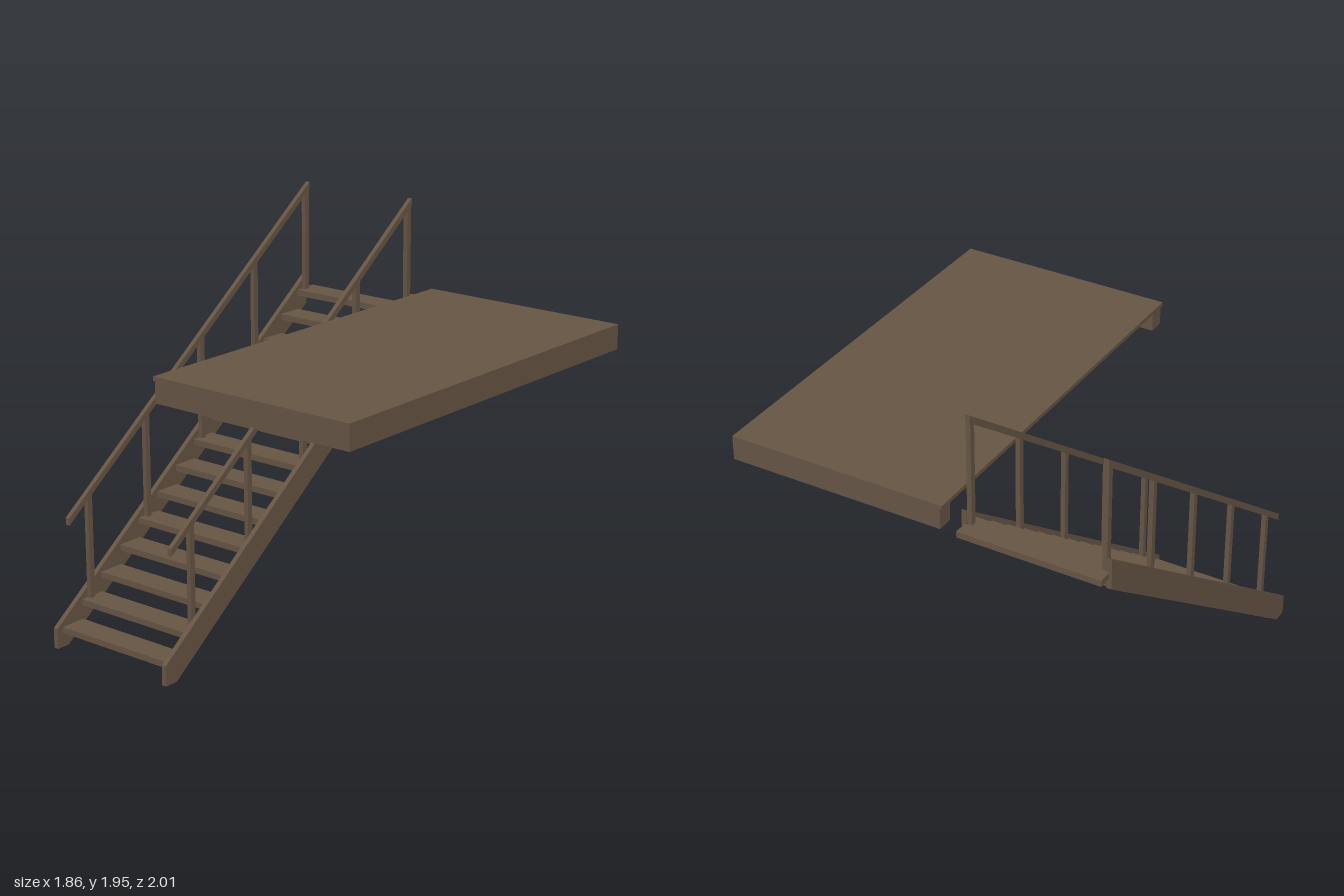
import * as THREE from 'three';

export function createModel() {
  const model = new THREE.Group();
  model.name = 'stairsAndPlatform';
  const wood = new THREE.MeshStandardMaterial({ color: 0x665544 });
  wood.name = 'brown wood';

  const add = (parent, name, geometry) => {
    const mesh = new THREE.Mesh(geometry, wood);
    mesh.name = name;
    parent.add(mesh);
    return mesh;
  };

  // Box given by its limits on each axis
  const box = (parent, name, x0, x1, y0, y1, z0, z1) => {
    const mesh = add(parent, name, new THREE.BoxGeometry(x1 - x0, y1 - y0, z1 - z0));
    mesh.position.set((x0 + x1) / 2, (y0 + y1) / 2, (z0 + z1) / 2);
    return mesh;
  };

  // Side profile of [z, y] points, extruded from x0 to x1
  const sidePlate = (parent, name, points, x0, x1) => {
    const shape = new THREE.Shape(points.map(([z, y]) => new THREE.Vector2(-z, y)));
    const geometry = new THREE.ExtrudeGeometry(shape, { depth: x1 - x0, bevelEnabled: false });
    geometry.rotateY(Math.PI / 2);
    geometry.translate(x0, 0, 0);
    return add(parent, name, geometry);
  };

  const stairs = new THREE.Group();
  stairs.name = 'stairs';
  model.add(stairs);

  // Treads
  const going = 0.1335, rise = 0.1, firstFront = 0.865;
  for (let i = 0; i < 14; i++) {
    const front = firstFront - i * going, top = rise * (i + 1);
    box(stairs, 'tread', -0.917, -0.223, top - 0.03, top, front - 0.135, front);
  }

  // Stringers and handrails, mirrored about the middle of the stairs
  const middle = -0.57;
  const slope = rise / going;
  for (const side of [-1, 1]) {
    const span = (a, b) => [middle + side * a, middle + side * b].sort((p, q) => p - q);
    const [s0, s1] = span(0.335, 0.36);
    sidePlate(stairs, 'stringer',
      [[0.9, 0], [0.9, 0.1], [-0.94, 1.472], [-0.94, 1.32], [0.83, 0]], s0, s1);

    const [r0, r1] = span(0.312, 0.335);
    sidePlate(stairs, 'handrail',
      [[0.82, 0.6], [0.82, 0.636], [-0.94, 1.95], [-0.94, 1.914]], r0, r1);

    // Posts stand on every third tread and are cut to the rail's slope
    for (let i = 1; i < 14; i += 3) {
      const z = firstFront - i * going - 0.05, foot = rise * (i + 1);
      const railY = (at) => 0.605 + slope * (0.82 - at);
      const a = z + 0.015, b = z - 0.015;
      sidePlate(stairs, 'railPost', [[a, foot], [a, railY(a)], [b, railY(b)], [b, foot]], r0, r1);
    }
  }

  const platform = new THREE.Group();
  platform.name = 'platform';
  model.add(platform);

  // Deck and the frame under it
  const y0 = 1.38, y1 = 1.48, w = 0.08;
  box(platform, 'deck', -0.15, 0.93, y1, 1.5, -1, 1);
  box(platform, 'outerBeam', 0.93 - w, 0.93, y0, y1, -1 + w, 1 - w);
  box(platform, 'innerBeam', -0.07, -0.07 + w, y0, y1, -1 + w, 1 - w);
  for (const end of [-1, 1]) {
    const inner = end * (1 - w);
    box(platform, 'endBeam', -0.14, 0.93, y0, y1, Math.min(end, inner), Math.max(end, inner));

    // Diagonal corner brace, mitred against both beams
    const c = 0.93 - w, near = 0.36, far = 0.45;
    const points = [[c - near, 1 - w], [c - far, 1 - w], [c, 1 - w - far], [c, 1 - w - near]];
    const shape = new THREE.Shape(points.map(([x, z]) => new THREE.Vector2(x, -end * z)));
    const brace = new THREE.ExtrudeGeometry(shape, { depth: y1 - y0, bevelEnabled: false });
    brace.rotateX(-Math.PI / 2);
    brace.translate(0, y0, 0);
    add(platform, 'cornerBrace', brace);
  }

  return model;
}
